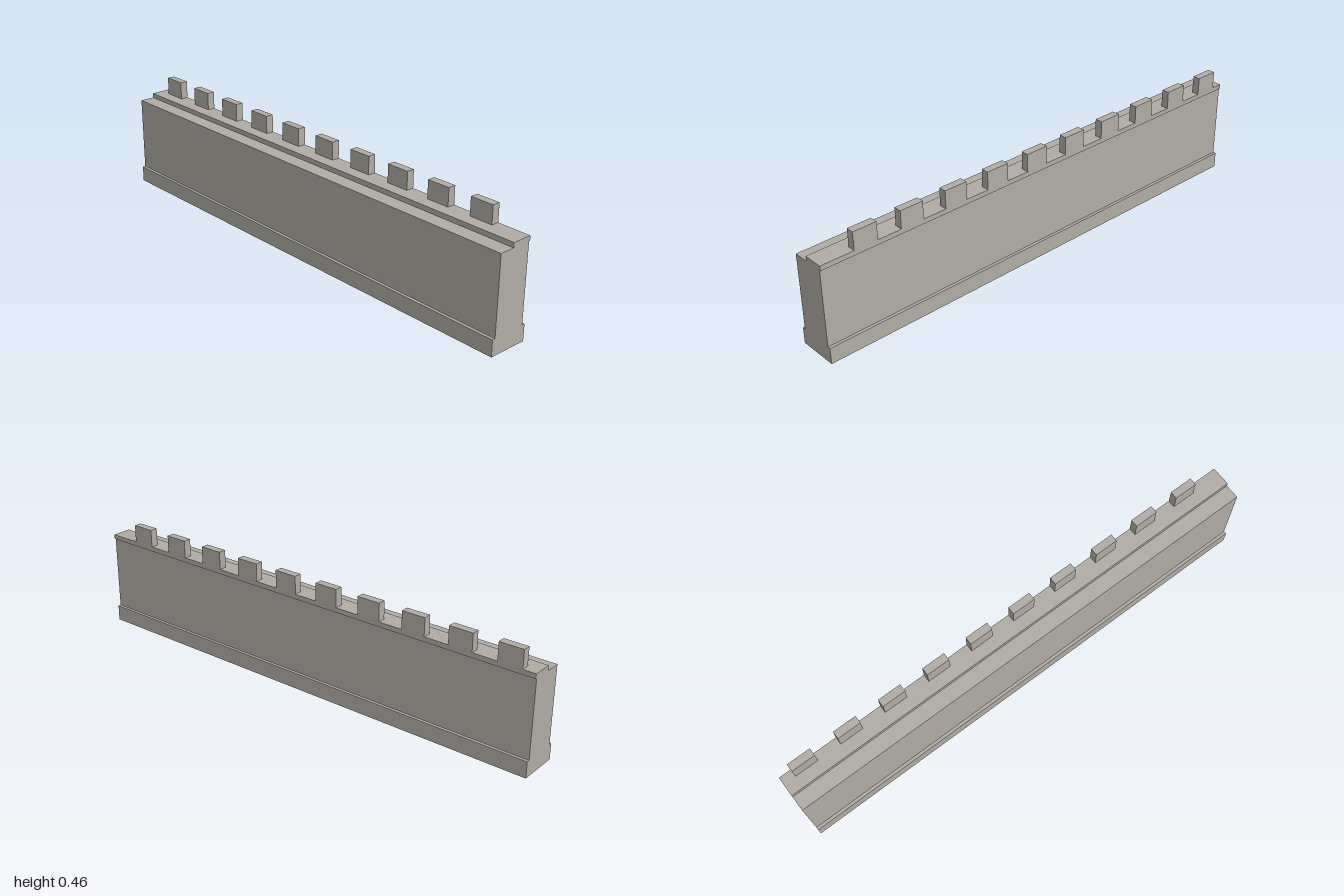
import * as THREE from 'three';

export function createModel() {
  const group = new THREE.Group();
  group.name = 'battlementWall';

  const stone = new THREE.MeshStandardMaterial({ color: 0xb0aca4 });
  stone.name = 'stone';

  // Block given by its extents on each axis
  function block(name, [x0, x1], [y0, y1], [z0, z1]) {
    const mesh = new THREE.Mesh(new THREE.BoxGeometry(x1 - x0, y1 - y0, z1 - z0), stone);
    mesh.position.set((x0 + x1) / 2, (y0 + y1) / 2, (z0 + z1) / 2);
    mesh.name = name;
    group.add(mesh);
  }

  const length = [-1, 1];
  block('plinth', length, [0, 0.064], [-0.079, 0.08]);
  block('wallBody', length, [0.064, 0.367], [-0.067, 0.068]);
  block('parapetStep', length, [0.367, 0.386], [-0.072, 0.008]);

  // Evenly spaced merlons along the back edge
  const count = 10, pitch = 0.1915, width = 0.095, start = -0.951;
  for (let i = 0; i < count; i++) {
    const x = start + i * pitch;
    block(`merlon${i + 1}`, [x, x + width], [0.386, 0.457], [-0.072, -0.041]);
  }
  return group;
}
